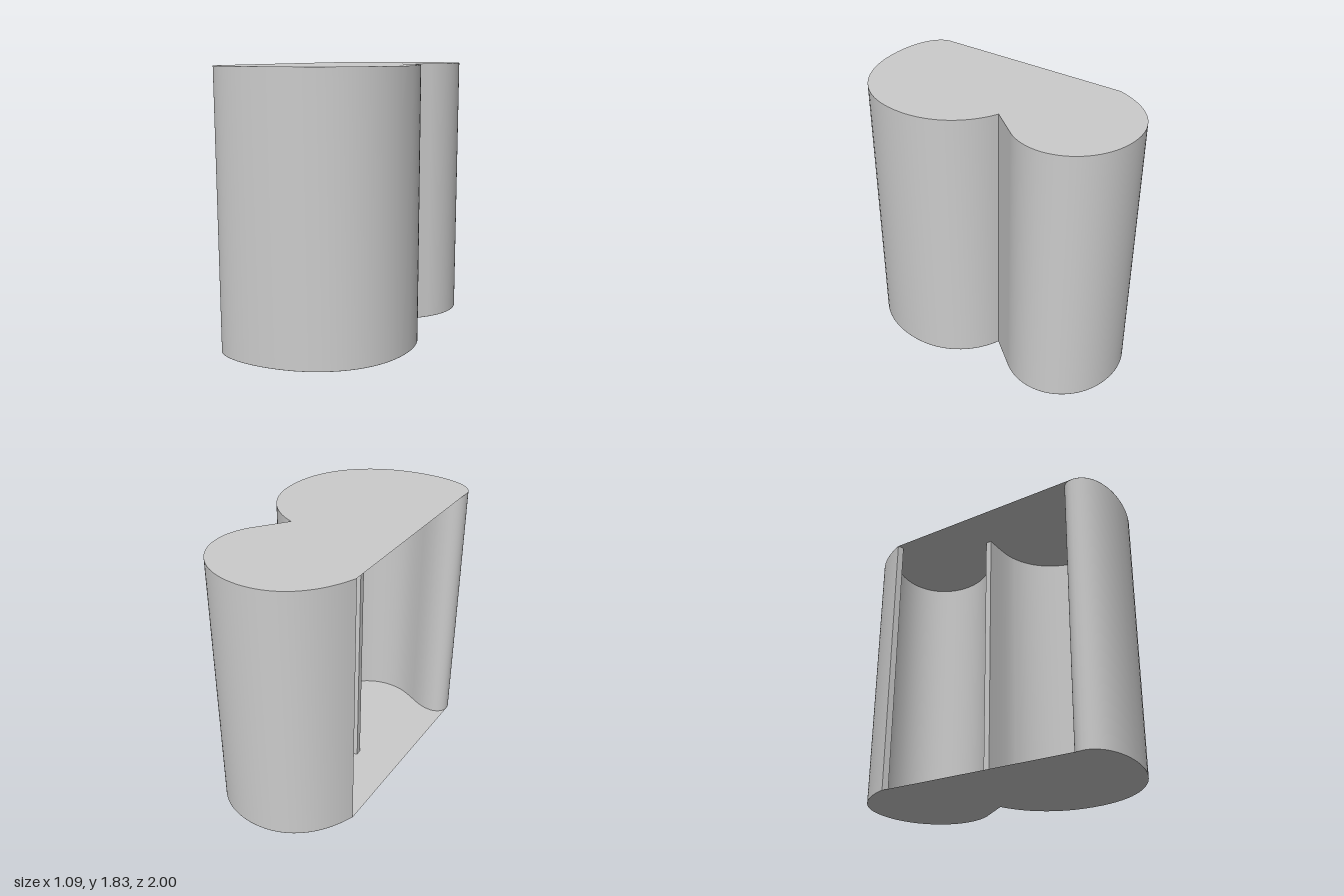
import * as THREE from 'three';
import { toCreasedNormals } from 'three/addons/utils/BufferGeometryUtils.js';

const HEIGHT = 1.83;

// Outer double-lobed edge as cubic curves in plan (x, z), from the back tip to the front corner
const TIP = [-0.517, -0.6];
const OUTER = [
  [-0.42, -0.85, -0.24, -1.0, 0.0, -1.0],
  [0.27, -1.0, 0.452, -0.82, 0.452, -0.61],
  [0.452, -0.51, 0.41, -0.42, 0.36, -0.36],
  [0.212, -0.17],
  [0.42, -0.09, 0.547, 0.09, 0.547, 0.32],
  [0.547, 0.74, 0.2, 1.0, -0.22, 1.0],
  [-0.42, 1.0, -0.547, 0.93, -0.547, 0.83],
];

// Inner edge returning to the tip: rounded end, lower bay, dividing fin, upper bay
const INNER = [
  [-0.547, 0.775, -0.5, 0.735, -0.44, 0.735],
  [-0.39, 0.735, -0.34, 0.75, -0.26, 0.795],
  [-0.16, 0.85, -0.1, 0.87, -0.02, 0.87],
  [0.19, 0.87, 0.36, 0.7, 0.36, 0.46],
  [0.36, 0.27, 0.25, 0.1, 0.08, 0.04],
  [0.02, 0.015, -0.05, 0.01, -0.22, 0.01],
  [-0.22, -0.03],
  [-0.05, -0.1, 0.03, -0.15, 0.12, -0.235],
  [0.19, -0.31, 0.235, -0.41, 0.235, -0.52],
  [0.235, -0.7, 0.105, -0.83, -0.08, -0.83],
  [-0.25, -0.83, -0.37, -0.76, -0.475, -0.585],
];

// Plan z runs opposite to shape y
function planShape(segments) {
  const shape = new THREE.Shape();
  shape.moveTo(TIP[0], -TIP[1]);
  for (const s of segments) {
    const p = s.map((v, i) => (i % 2 ? -v : v));
    if (p.length === 2) shape.lineTo(...p);
    else shape.bezierCurveTo(...p);
  }
  shape.closePath();
  return shape;
}

export function createModel() {
  const group = new THREE.Group();
  const wallMaterial = new THREE.MeshStandardMaterial({ color: 0xcccccc });
  const plateMaterial = new THREE.MeshStandardMaterial({ color: 0xcccccc, side: THREE.DoubleSide });

  // Thick curved wall, open along the flat side
  const gap = 0.001;
  const wallGeometry = new THREE.ExtrudeGeometry(planShape([...OUTER, ...INNER]), {
    depth: HEIGHT - 2 * gap, bevelEnabled: false, curveSegments: 20,
  });
  wallGeometry.rotateX(-Math.PI / 2);
  const wall = new THREE.Mesh(toCreasedNormals(wallGeometry, 0.5), wallMaterial);
  wall.position.y = gap;
  wall.name = 'curvedWall';
  group.add(wall);

  // Thin floor and lid spanning the whole outline
  const plateGeometry = new THREE.ShapeGeometry(planShape(OUTER), 20);
  plateGeometry.rotateX(-Math.PI / 2);
  for (const [name, y] of [['floorPlate', 0], ['topPlate', HEIGHT]]) {
    const plate = new THREE.Mesh(plateGeometry, plateMaterial);
    plate.position.y = y;
    plate.name = name;
    group.add(plate);
  }
  return group;
}
